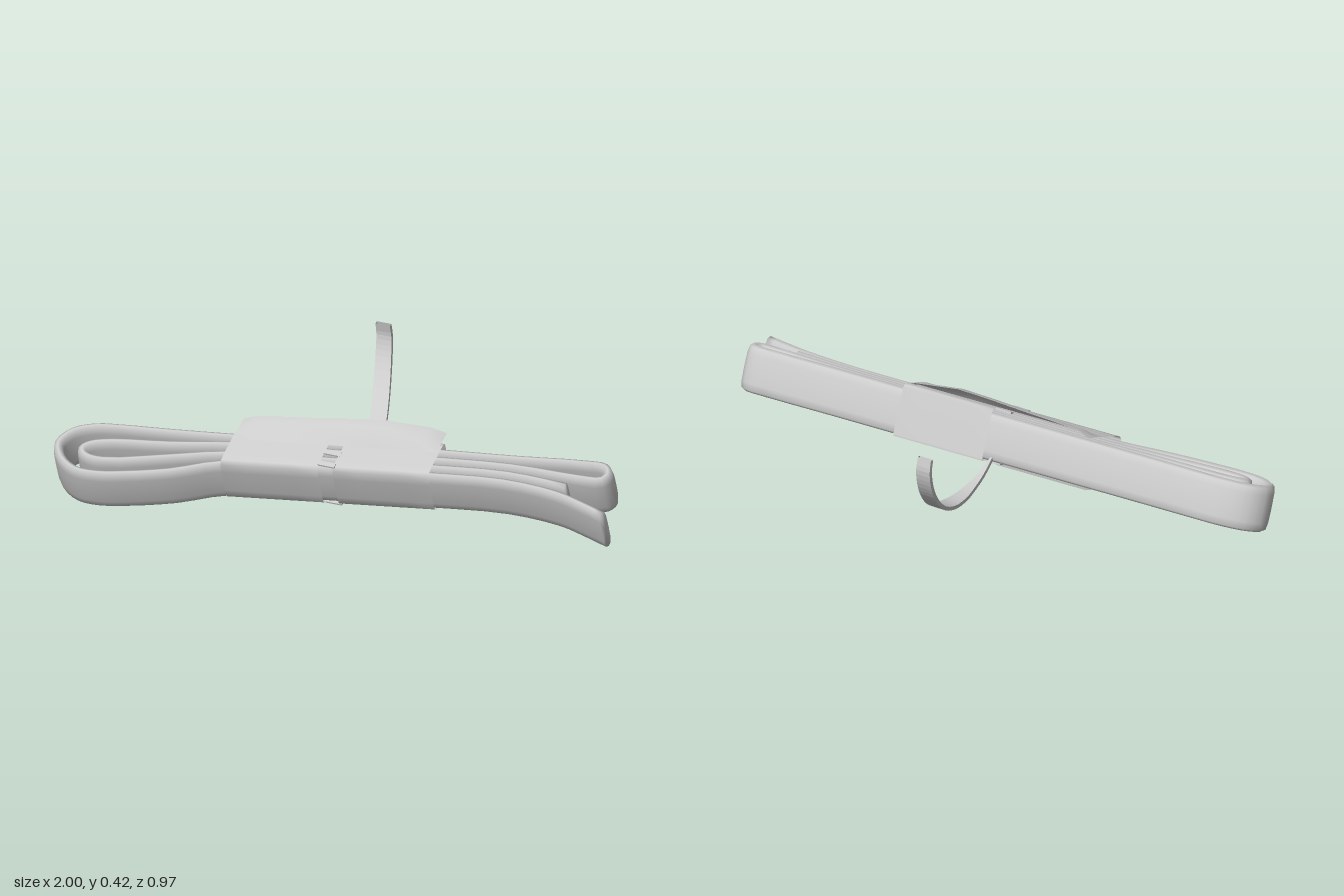
import * as THREE from 'three';

const V = (x, y, z) => new THREE.Vector3(x, y, z);
const W = V(0, 0.932, 0.361);        // across the strap width
const F = V(0, -0.361, 0.932);       // through the stack, towards the front
const onPlane = (x, z) => V(x, 0.25 - 0.387 * z, z);
// point around the middle of the stack: d towards the front, w up the width
const local = (x, d, w) => onPlane(x, 0.186 - 0.143 * x).addScaledVector(F, d).addScaledVector(W, w);

const grey = new THREE.MeshStandardMaterial({ color: 0xcccccc });
const sheetGrey = new THREE.MeshStandardMaterial({ color: 0xcccccc, side: THREE.DoubleSide });
const flatGrey = new THREE.MeshStandardMaterial({ color: 0xcccccc, side: THREE.DoubleSide, flatShading: true });

// skin over equal-length rows of points
function loft(rows, closed, material, name) {
  const n = rows[0].length, index = [];
  for (let i = 0; i < rows.length - 1; i++) {
    for (let j = 0; j < (closed ? n : n - 1); j++) {
      const k = (j + 1) % n;
      const a = i * n + j, b = a + n, c = i * n + k, d = c + n;
      index.push(a, b, c, c, b, d);
    }
  }
  const g = new THREE.BufferGeometry().setFromPoints(rows.flat());
  g.setIndex(index);
  g.computeVertexNormals();
  const mesh = new THREE.Mesh(g, material);
  mesh.name = name;
  return mesh;
}

// one long strap folded into an outer loop, a right-hand hook and an inner loop
function foldedStrap() {
  const path = [
    [0.996, 0.215], [0.9, 0.188], [0.8, 0.165], [0.6, 0.157], [0.33, 0.19], [-0.02, 0.24], [-0.38, 0.3],
    [-0.55, 0.375], [-0.7, 0.422], [-0.8, 0.444], [-0.88, 0.442], [-0.945, 0.405], [-0.98, 0.345],
    [-0.95, 0.285], [-0.88, 0.25], [-0.8, 0.236], [-0.6, 0.212], [-0.36, 0.18], [0, 0.132], [0.34, 0.085],
    [0.6, 0.052], [0.85, 0.016], [0.92, 0.014], [0.943, 0.04], [0.93, 0.07], [0.85, 0.08],
    [0.6, 0.088], [0.33, 0.12], [-0.02, 0.168], [-0.38, 0.217], [-0.6, 0.265], [-0.8, 0.3], [-0.87, 0.325],
    [-0.89, 0.35], [-0.87, 0.375], [-0.8, 0.382], [-0.6, 0.325], [-0.38, 0.258], [-0.02, 0.204],
    [0.33, 0.155], [0.6, 0.122], [0.82, 0.125],
  ].map(([x, z]) => onPlane(x, z));
  const curve = new THREE.CatmullRomCurve3(path, false, 'centripetal');
  const section = [[1, 0], [0.95, 0.6], [0.7, 0.9], [0, 1], [-0.7, 0.9], [-0.95, 0.6],
    [-1, 0], [-0.95, -0.6], [-0.7, -0.9], [0, -1], [0.7, -0.9], [0.95, -0.6]];
  const steps = (path.length - 1) * 3;
  const ring = (t, s) => {
    const p = curve.getPoint(t), side = curve.getTangent(t).cross(W).normalize();
    return section.map(([a, b]) => p.clone().addScaledVector(side, a * 0.0185 * s).addScaledVector(W, b * 0.083 * s));
  };
  const rows = [ring(0, 0.01)];
  for (let i = 0; i <= steps; i++) rows.push(ring(i / steps, 1));
  rows.push(ring(1, 0.01));
  return loft(rows, true, grey, 'foldedStrap');
}

// sheet following the stack between two x positions
function sleevePanel(x0, x1, section, name) {
  const rows = [];
  for (let i = 0; i <= 4; i++) {
    const x = x0 + (x1 - x0) * i / 4;
    rows.push(section.map(([d, w]) => local(x, d * (1 - 0.1 * x), w)));
  }
  return loft(rows, false, sheetGrey, name);
}

// top flap, rising from its hinge to a free edge that overhangs the back
function flap() {
  const stations = [[-0.38, 0.098], [-0.33, 0.117], [-0.15, 0.126], [0, 0.135],
    [0.12, 0.14], [0.28, 0.12], [0.335, 0.096]];
  const rows = stations.map(([x, w]) => [
    local(x, -0.03, 0.1),
    local(x, -0.06, 0.1 + (w - 0.098) * 0.5),
    local(x, -0.095, 0.1 + (w - 0.098) * 0.95),
    local(x, -0.128, w),
  ]);
  return loft(rows, false, sheetGrey, 'sleeveFlap');
}

// thin loose tail sweeping back and up: x, y, z, half width
function tail() {
  const stations = [[-0.03, 0.145, 0.08, 0.004], [-0.033, 0.112, 0.01, 0.011], [-0.037, 0.096, -0.06, 0.018],
    [-0.043, 0.092, -0.12, 0.024], [-0.05, 0.1, -0.2, 0.031], [-0.07, 0.135, -0.29, 0.031],
    [-0.093, 0.19, -0.37, 0.031], [-0.113, 0.26, -0.435, 0.03], [-0.123, 0.32, -0.468, 0.029],
    [-0.127, 0.375, -0.48, 0.028], [-0.128, 0.42, -0.472, 0.027]];
  const curve = new THREE.CatmullRomCurve3(stations.map(([x, y, z]) => V(x, y, z)));
  const rows = [], n = 30, half = 0.007;
  for (let i = 0; i <= n; i++) {
    const t = i / n, p = curve.getPoint(t), f = t * (stations.length - 1);
    const k = Math.min(Math.floor(f), stations.length - 2);
    const w = THREE.MathUtils.lerp(stations[k][3], stations[k + 1][3], f - k);
    const up = V(1, 0, 0).cross(curve.getTangent(t)).normalize();
    rows.push([[-1, -1], [-1, 1], [1, 1], [1, -1]].map(([a, b]) =>
      p.clone().add(V(a * w, 0, 0)).addScaledVector(up, b * half)));
  }
  return loft(rows, true, flatGrey, 'looseTail');
}

export function createModel() {
  const model = new THREE.Group();
  model.name = 'foldedStrapBundle';
  model.add(foldedStrap());

  // sleeve: left half open at the back, right half wrapped all round
  const wrap = [[-0.082, -0.087], [0.04, -0.088], [0.068, -0.086], [0.08, -0.074], [0.084, -0.04],
    [0.085, 0.05], [0.081, 0.085], [0.068, 0.097], [0.04, 0.1], [-0.06, 0.1]];
  const back = [[-0.079, 0.097], [-0.084, 0.085], [-0.084, -0.08], [-0.082, -0.087]];
  model.add(sleevePanel(-0.385, -0.045, wrap, 'sleeveOpenHalf'));
  model.add(sleevePanel(0.008, 0.345, [...wrap, ...back], 'sleeveClosedHalf'));
  model.add(flap());

  // small ties joining the two halves
  const ties = new THREE.Group();
  ties.name = 'sleeveTies';
  for (const w of [-0.087, 0.098]) {
    for (const d of [-0.05, 0.005, 0.06]) {
      const tie = new THREE.Mesh(new THREE.BoxGeometry(0.064, 0.006, 0.02), grey);
      tie.name = 'tie';
      tie.position.copy(local(-0.018, d, w));
      tie.rotation.x = Math.atan2(0.361, 0.932);
      ties.add(tie);
    }
  }
  model.add(ties);
  model.add(tail());
  return model;
}
